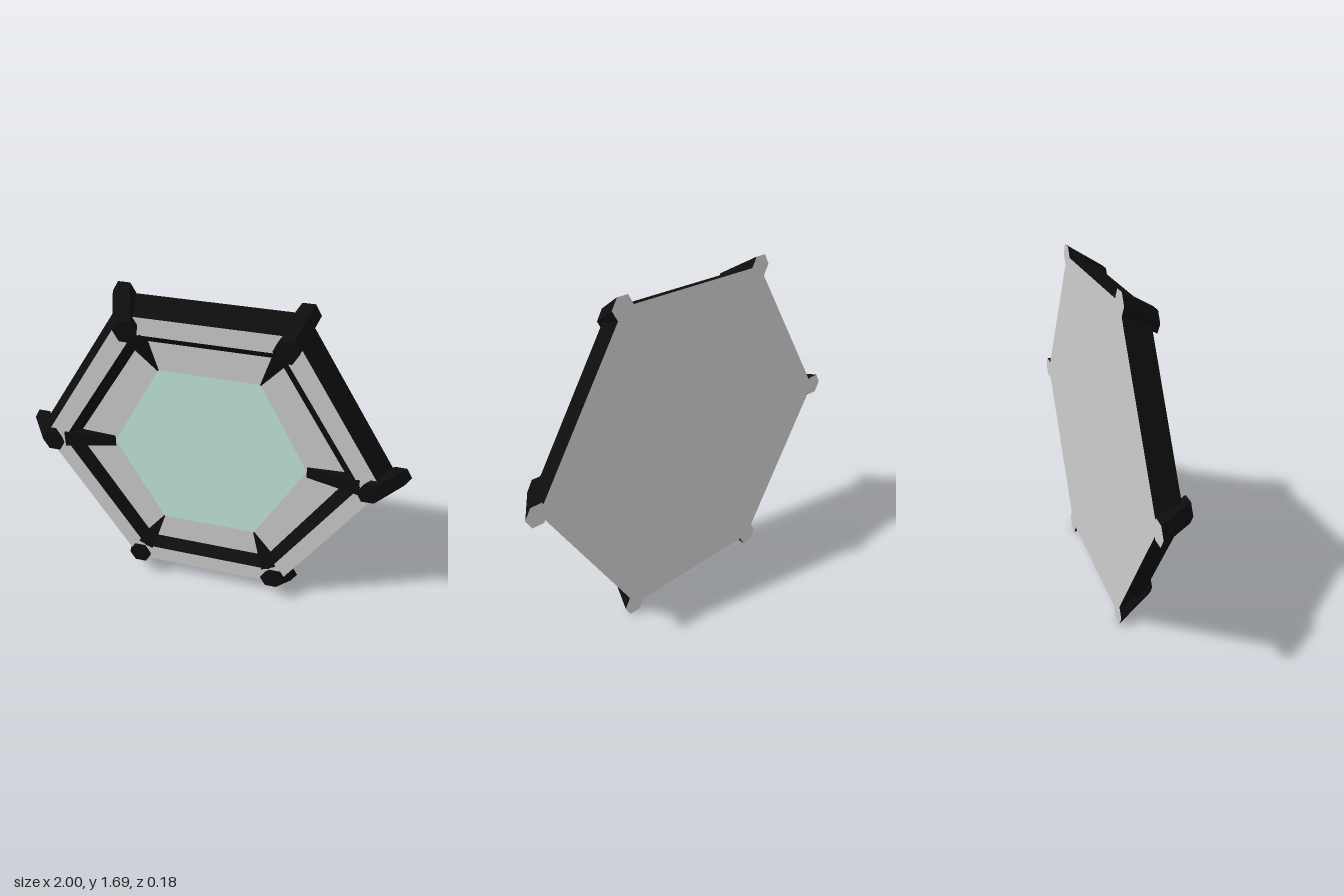
import * as THREE from 'three';

const CY = 0.845; // height of the window centre
const black = new THREE.MeshStandardMaterial({ color: 0x0d0d0d, flatShading: true });
const grey = new THREE.MeshStandardMaterial({ color: 0xcccccc, flatShading: true });
const teal = new THREE.MeshStandardMaterial({ color: 0xc2e8dc, flatShading: true });

// Six corners, counter-clockwise from the front
const hex = (side, topX, topY, z, cx = 0, cy = 0) =>
  [[side, 0], [topX, topY], [-topX, topY], [-side, 0], [-topX, -topY], [topX, -topY]]
    .map(([x, y]) => new THREE.Vector3(cx + x, CY + cy + y, z));

// Band of quads joining two closed loops
function strip(a, b) {
  const tris = [];
  a.forEach((p, i) => {
    const j = (i + 1) % a.length;
    tris.push(p, a[j], b[j], p, b[j], b[i]);
  });
  return tris;
}

// Flat cap over a loop
function cap(loop, flip = false) {
  const tris = [];
  for (let i = 1; i < loop.length - 1; i++) {
    tris.push(...(flip ? [loop[0], loop[i + 1], loop[i]] : [loop[0], loop[i], loop[i + 1]]));
  }
  return tris;
}

function mesh(name, tris, material) {
  const geometry = new THREE.BufferGeometry().setFromPoints(tris);
  geometry.computeVertexNormals();
  const m = new THREE.Mesh(geometry, material);
  m.name = name;
  return m;
}

export function createModel() {
  const group = new THREE.Group();
  group.name = 'hexagonalWindow';

  // Stepped frame, from the back rim round to the glass
  const rim = hex(0.93, 0.425, 0.795, -0.09);
  const faceOuter = hex(0.87, 0.4, 0.745, 0.05);
  const faceInner = hex(0.765, 0.35, 0.655, 0.05);
  const panelOuter = hex(0.705, 0.325, 0.605, 0);
  const glass = hex(0.5, 0.25, 0.455, 0);
  group.add(
    mesh('outerWall', strip(rim, faceOuter), black),
    mesh('frameFace', strip(faceOuter, faceInner), grey),
    mesh('innerWall', strip(faceInner, panelOuter), black),
    mesh('innerPanel', strip(panelOuter, glass), grey),
    mesh('glass', cap(glass), teal),
    mesh('backPlate', cap(rim, true), grey),
  );

  // Leaning hexagonal posts and tapered spokes at the six corners
  const backCentres = hex(0.94, 0.43, 0.793, -0.09);
  const frontCentres = hex(0.81, 0.372, 0.685, 0.09);
  for (let i = 0; i < 6; i++) {
    const b = backCentres[i], f = frontCentres[i];
    const back = hex(0.06, 0.03, 0.052, b.z, b.x, b.y - CY);
    const front = hex(0.06, 0.03, 0.052, f.z, f.x, f.y - CY);
    group.add(
      mesh('cornerPost', [...strip(back, front), ...cap(front)], black),
      mesh('postBack', cap(back, true), grey),
    );

    // Spoke running from the glass corner up to the post
    const tip = glass[i];
    const dir = new THREE.Vector3(f.x - tip.x, f.y - tip.y, 0).normalize();
    const across = new THREE.Vector3(-dir.y, dir.x, 0);
    const section = (p, half, low, high) => [[-1, low], [1, low], [1, high], [-1, high]]
      .map(([s, z]) => p.clone().addScaledVector(across, s * half).setZ(z));
    const inner = section(tip, i % 3 === 0 ? 0.03 : 0.003, -0.03, 0.004);
    const outer = section(f.clone().addScaledVector(dir, -0.05), 0.042, -0.03, 0.058);
    group.add(mesh('spoke', [...strip(inner, outer), ...cap(inner, true), ...cap(outer)], black));
  }
  return group;
}
